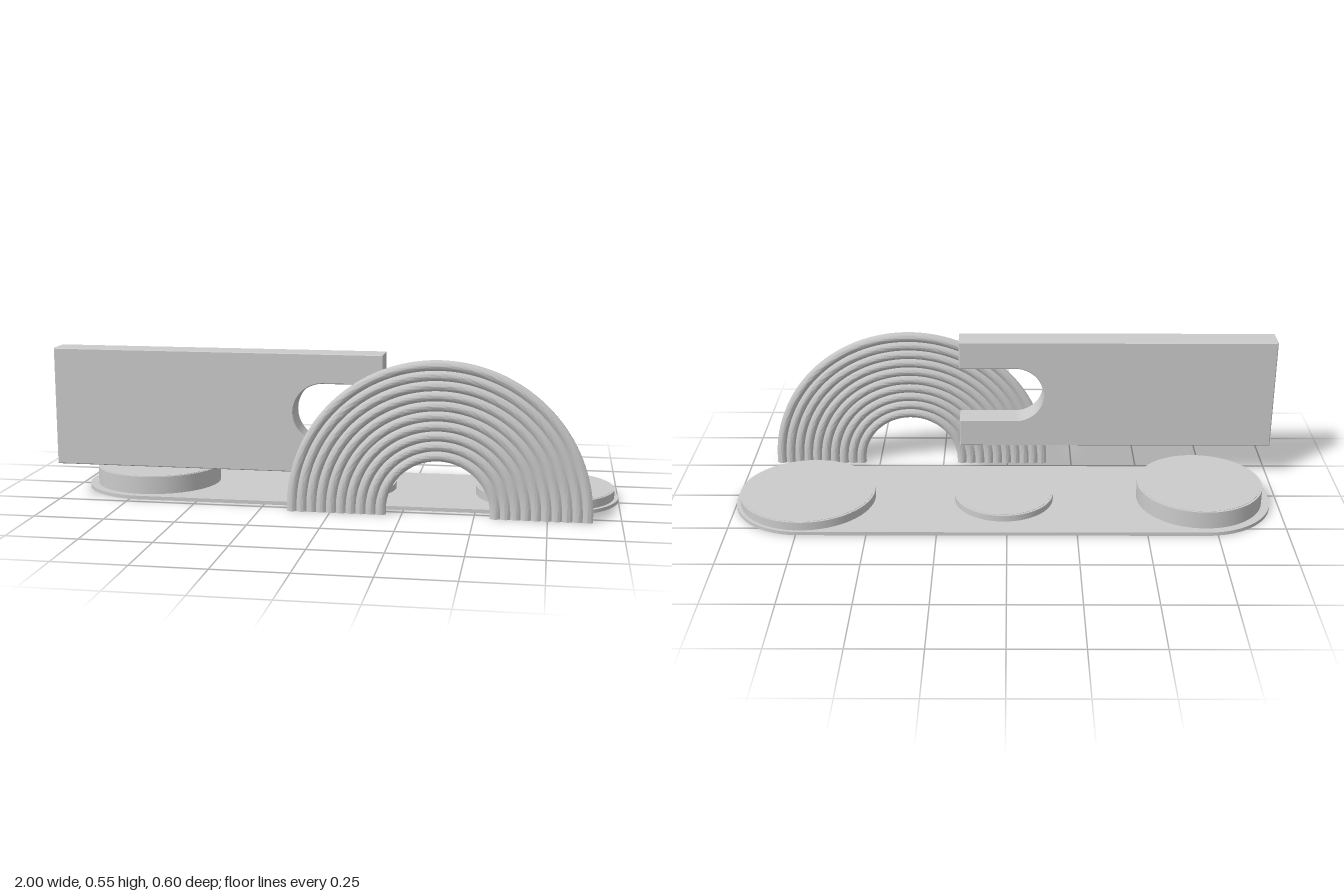
import * as THREE from 'three';
import { toCreasedNormals } from 'three/addons/utils/BufferGeometryUtils.js';

const material = new THREE.MeshStandardMaterial({ color: 0xcccccc });

function add(parent, name, geometry, x = 0, y = 0, z = 0) {
  const mesh = new THREE.Mesh(geometry, material);
  mesh.name = name;
  mesh.position.set(x, y, z);
  parent.add(mesh);
  return mesh;
}

// Closed cross-section of the arch band: rounded ridges on both faces
function ridgeProfile(inner, outer, ridges, steps) {
  const front = [];
  const count = ridges * steps;
  for (let i = 0; i <= count; i++) {
    const wave = Math.sin(Math.PI * (i % steps) / steps);
    front.push(new THREE.Vector2(inner + (outer - inner) * i / count, 0.006 + 0.009 * wave));
  }
  const back = front.map(p => new THREE.Vector2(p.x, -p.y));
  return [...back, ...front.reverse()];
}

function createArch() {
  const arch = new THREE.Group();
  arch.name = 'ridgedArch';
  const legHeight = 0.015;
  const profile = ridgeProfile(0.18, 0.528, 10, 8);

  // Half turn of the ridged section, stood upright
  const lathe = new THREE.LatheGeometry([...profile, profile[0]], 72, Math.PI / 2, Math.PI);
  lathe.rotateX(Math.PI / 2);
  add(arch, 'archBand', toCreasedNormals(lathe, 0.7));

  // Short straight feet below both ends
  for (const side of [1, -1]) {
    const leg = new THREE.ExtrudeGeometry(new THREE.Shape(profile), { depth: legHeight, bevelEnabled: false });
    leg.rotateX(Math.PI / 2);
    const foot = add(arch, side > 0 ? 'leftArchFoot' : 'rightArchFoot', toCreasedNormals(leg, 0.7));
    if (side < 0) foot.rotation.y = Math.PI;
  }
  arch.position.set(0.375, legHeight, 0.285);
  return arch;
}

function createSlottedBlock() {
  // Long block with a round-ended slot open at its left end
  const bevel = 0.003, x0 = -1 + bevel, x1 = 0.18 - bevel;
  const y0 = 0.132 + bevel, y1 = 0.552 - bevel;
  const slotX = -0.03, slotY = 0.342, slotR = 0.105 + bevel;
  const shape = new THREE.Shape();
  shape.moveTo(x0, y0);
  shape.lineTo(x1, y0);
  shape.lineTo(x1, slotY - slotR);
  shape.lineTo(slotX, slotY - slotR);
  shape.absarc(slotX, slotY, slotR, -Math.PI / 2, Math.PI / 2, true);
  shape.lineTo(x1, slotY + slotR);
  shape.lineTo(x1, y1);
  shape.lineTo(x0, y1);
  shape.closePath();
  const geometry = new THREE.ExtrudeGeometry(shape, {
    depth: 0.098 - 2 * bevel, bevelEnabled: true, bevelSize: bevel,
    bevelThickness: bevel, bevelSegments: 1, curveSegments: 32,
  });
  geometry.translate(0, 0, 0.159 + bevel);
  return toCreasedNormals(geometry, 0.5);
}

function createBase() {
  // Thin plate with semicircular ends
  const radius = 0.26;
  const shape = new THREE.Shape();
  shape.absarc(0.74, 0, radius, -Math.PI / 2, Math.PI / 2, false);
  shape.absarc(-0.71, 0, radius, Math.PI / 2, Math.PI * 1.5, false);
  shape.closePath();
  const geometry = new THREE.ExtrudeGeometry(shape, { depth: 0.013, bevelEnabled: false, curveSegments: 40 });
  geometry.rotateX(Math.PI / 2);
  return toCreasedNormals(geometry, 0.5);
}

export function createModel() {
  const model = new THREE.Group();
  model.name = 'model';
  const baseTop = 0.013, baseZ = -0.04;

  add(model, 'basePlate', createBase(), 0, baseTop, baseZ);

  // Round pads on the base, each with a slightly inset top face
  const pads = [
    ['rightPad', -0.71, 0.23, 0.077],
    ['middlePad', 0.012, 0.182, 0.036],
    ['leftPad', 0.737, 0.249, 0.044],
  ];
  for (const [name, x, r, top] of pads) {
    const height = top - baseTop;
    add(model, name, new THREE.CylinderGeometry(r, r, height, 64), x, baseTop + height / 2, baseZ);
    add(model, name + 'Face', new THREE.CylinderGeometry(r - 0.008, r - 0.008, 0.002, 64), x, top, baseZ);
  }

  add(model, 'slottedBlock', createSlottedBlock());
  model.add(createArch());
  return model;
}
